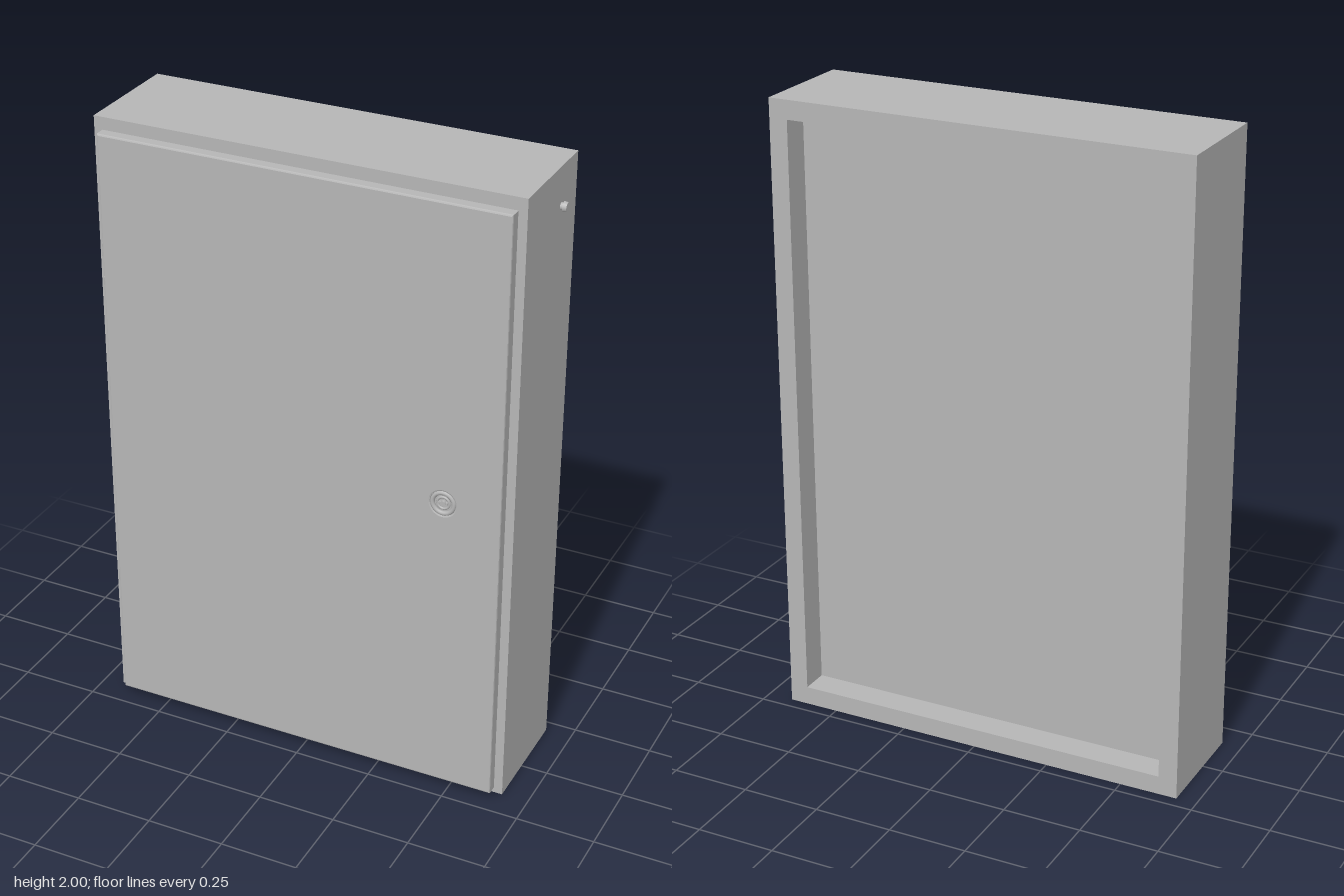
import * as THREE from 'three';

const grey = new THREE.MeshStandardMaterial({ color: 0xb6b6b6 });
grey.name = 'paintedSteel';

function add(group, name, geometry, x = 0, y = 0, z = 0) {
  const mesh = new THREE.Mesh(geometry, grey);
  mesh.name = name;
  mesh.position.set(x, y, z);
  group.add(mesh);
  return mesh;
}

// Closed rectangle for outlines and cut-outs
function rect(PathType, x0, y0, x1, y1) {
  const p = new PathType();
  p.moveTo(x0, y0);
  p.lineTo(x1, y0);
  p.lineTo(x1, y1);
  p.lineTo(x0, y1);
  p.closePath();
  return p;
}

// Cylinder lying along z
function disc(radius, depth, sides = 32) {
  return new THREE.CylinderGeometry(radius, radius, depth, sides).rotateX(Math.PI / 2);
}

export function createModel() {
  const cabinet = new THREE.Group();
  cabinet.name = 'wallCabinet';
  const left = -0.685, right = 0.665, back = -0.21, front = 0.16, rim = 0.06;
  const midX = (left + right) / 2;

  // Box walls with a rim around the recessed back
  const walls = rect(THREE.Shape, left, 0, right, 2);
  walls.holes.push(rect(THREE.Path, left + rim, rim, right - rim, 2 - rim));
  add(cabinet, 'bodyWalls',
    new THREE.ExtrudeGeometry(walls, { depth: front - back, bevelEnabled: false }), 0, 0, back);

  // Panel filling the walls, set in from the back
  const recess = 0.09, panelDepth = front - back - recess;
  add(cabinet, 'backPanel',
    new THREE.BoxGeometry(right - left - 2 * rim, 2 - 2 * rim, panelDepth),
    midX, 1, front - panelDepth / 2);

  // Seal between body and door
  add(cabinet, 'doorSeal', new THREE.BoxGeometry(1.22, 1.86, 0.012), -0.005, 0.998, front + 0.003);

  // Door with softened edges and a round lock cut-out
  const bevel = 0.005, lockX = 0.46, lockY = 1.02;
  const door = rect(THREE.Shape, -0.65 + bevel, 0.028 + bevel, 0.642 - bevel, 1.966 - bevel);
  const cutout = new THREE.Path();
  cutout.absarc(lockX, lockY, 0.045, 0, Math.PI * 2, true);
  door.holes.push(cutout);
  add(cabinet, 'door', new THREE.ExtrudeGeometry(door, {
    depth: 0.041 - 2 * bevel, bevelSize: bevel, bevelThickness: bevel, bevelSegments: 2, curveSegments: 24,
  }), 0, 0, 0.167 + bevel);

  // Lock: collar, dished face, core and key bar
  const lock = new THREE.Group();
  lock.name = 'lock';
  lock.position.set(lockX, lockY, 0);
  cabinet.add(lock);
  add(lock, 'lockBase', disc(0.046, 0.03), 0, 0, 0.184);
  add(lock, 'lockCollar', new THREE.TorusGeometry(0.034, 0.007, 10, 32), 0, 0, 0.203);
  add(lock, 'lockCore', new THREE.TorusGeometry(0.019, 0.004, 8, 24), 0, 0, 0.202);
  add(lock, 'lockPin', disc(0.008, 0.012, 16), 0, 0, 0.203);
  add(lock, 'lockBar', new THREE.BoxGeometry(0.03, 0.007, 0.008), 0, 0, 0.202);

  // Two hinges, each a pin with a knuckle at either end
  for (const y of [1.525, 0.49]) {
    const hinge = new THREE.Group();
    hinge.name = 'hinge';
    hinge.position.set(-0.664, y, front + 0.004);
    cabinet.add(hinge);
    add(hinge, 'hingePin', new THREE.CylinderGeometry(0.007, 0.007, 0.14, 16));
    for (const s of [-1, 1]) {
      add(hinge, 'hingeKnuckle', new THREE.CylinderGeometry(0.011, 0.011, 0.042, 16), 0, s * 0.055, 0);
    }
    add(hinge, 'hingeLeaf', new THREE.BoxGeometry(0.04, 0.07, 0.004), 0.022, 0, 0);
  }

  // Earthing stud on the side wall
  const stud = new THREE.Group();
  stud.name = 'sideStud';
  stud.position.set(right, 1.877, -0.095);
  stud.rotation.z = -Math.PI / 2;
  cabinet.add(stud);
  add(stud, 'studShank', new THREE.CylinderGeometry(0.011, 0.011, 0.014, 16), 0, 0.005, 0);
  add(stud, 'studHead', new THREE.CylinderGeometry(0.014, 0.016, 0.012, 16), 0, 0.014, 0);

  return cabinet;
}
